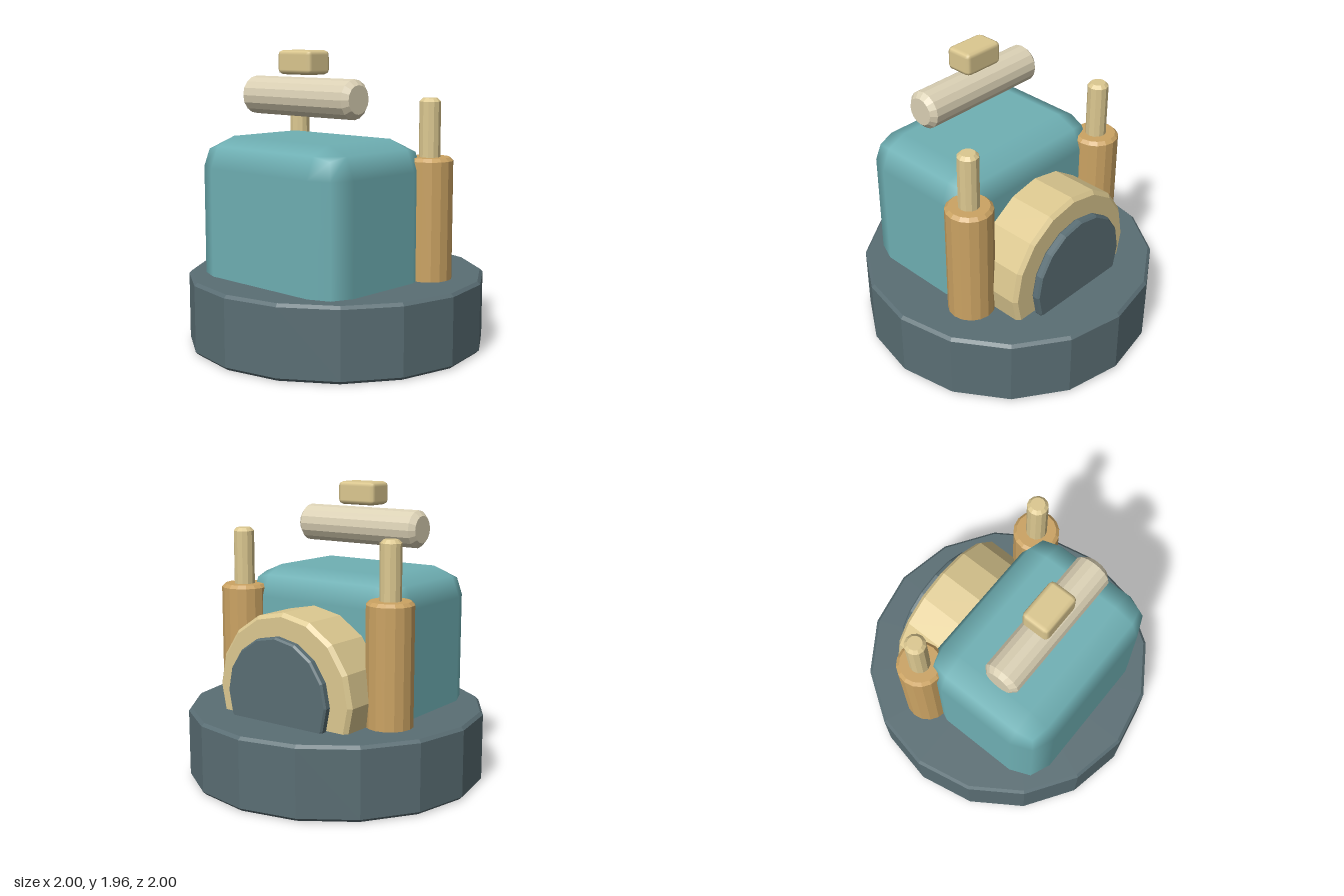
import * as THREE from 'three';
import { RoundedBoxGeometry } from 'three/addons/geometries/RoundedBoxGeometry.js';

const material = (color, flatShading = true) => new THREE.MeshStandardMaterial({ color, flatShading });

// Closed faceted cylinder with chamfered rims, centred, along y
function chamferedCylinder(radius, height, bevel, sides = 16) {
  const h = height / 2;
  const profile = [
    [0, -h], [radius - bevel, -h], [radius, -h + bevel],
    [radius, h - bevel], [radius - bevel, h], [0, h],
  ].map(([x, y]) => new THREE.Vector2(x, y));
  return new THREE.LatheGeometry(profile, sides);
}

export function createModel() {
  const model = new THREE.Group();
  model.name = 'model';

  const slate = material(0x5a6e74);
  const teal = material(0x6fb0b4, false);
  const bronze = material(0xcba363);
  const sand = material(0xdcc890);
  const sandSmooth = material(0xdcc890, false);
  const cream = material(0xdbd1b5);

  const add = (name, geometry, mat, x, y, z) => {
    const mesh = new THREE.Mesh(geometry, mat);
    mesh.name = name;
    mesh.position.set(x, y, z);
    model.add(mesh);
    return mesh;
  };

  // Round plinth
  add('base', chamferedCylinder(1, 0.48, 0.02), slate, 0, 0.24, 0);

  // Main block, sunk into the plinth
  add('body', new RoundedBoxGeometry(1.28, 1.2, 0.96, 1, 0.2), teal, 0, 0.8, 0.24);

  // Pillars with rods at both rear corners
  for (const [side, s] of [['left', 1], ['right', -1]]) {
    add(`${side}Pillar`, chamferedCylinder(0.155, 0.88, 0.022), bronze, 0.6 * s, 0.84, -0.245);
    add(`${side}Rod`, chamferedCylinder(0.07, 0.46, 0.022, 12), sand, 0.6 * s, 1.43, -0.245);
  }

  // Rear drum and its dark cover disc, half sunk into the plinth
  add('rearDrum', chamferedCylinder(0.54, 0.4, 0.025), sand, 0, 0.645, -0.38).rotation.x = Math.PI / 2;
  add('rearDisc', chamferedCylinder(0.4, 0.06, 0.012), slate, 0, 0.64, -0.62).rotation.x = Math.PI / 2;

  // Roller and small cap floating above the body
  add('roller', chamferedCylinder(0.126, 0.96, 0.035), cream, 0, 1.665, 0.305).rotation.z = Math.PI / 2;
  add('cap', new RoundedBoxGeometry(0.295, 0.155, 0.195, 1, 0.03), sandSmooth, 0, 1.887, 0.305);

  return model;
}
